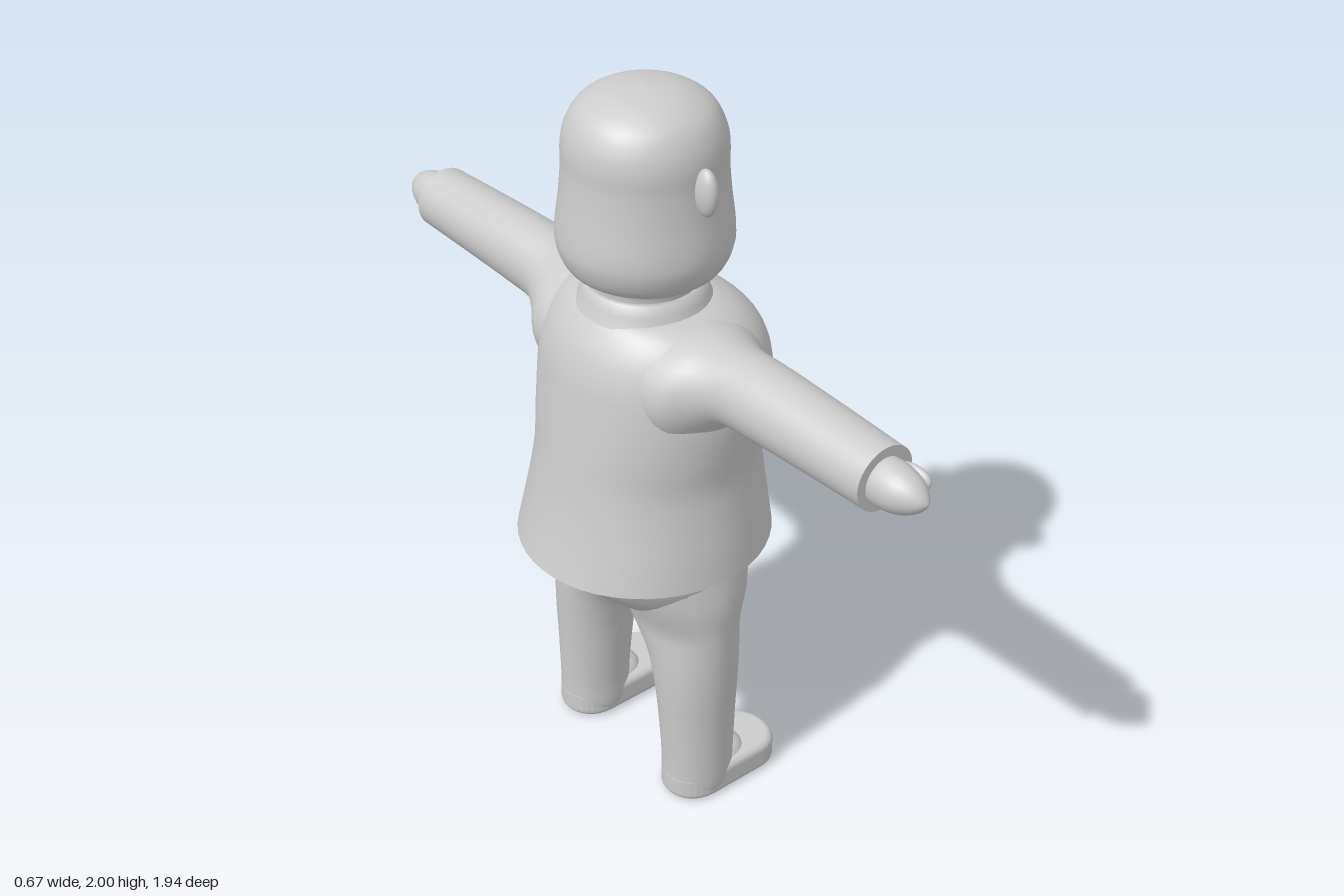
import * as THREE from 'three';

const mat = new THREE.MeshStandardMaterial({ color: 0xcccccc });
const openMat = new THREE.MeshStandardMaterial({ color: 0xcccccc, side: THREE.DoubleSide });

// Smooth loft along y through elliptical sections [y, xMin, xMax, zMin, zMax].
function loft(sections, { steps = 5, sides = 36, capStart = false, capEnd = false } = {}) {
  const at = (i) => sections[Math.max(0, Math.min(sections.length - 1, i))];
  const rings = [];
  for (let i = 0; i < sections.length - 1; i++) {
    for (let s = 0; s < steps; s++) {
      const k = s / steps;
      rings.push(at(i).map((p1, d) => {
        const p0 = at(i - 1)[d], p2 = at(i + 1)[d], p3 = at(i + 2)[d];
        return p1 + 0.5 * k * (p2 - p0 + k * (2 * p0 - 5 * p1 + 4 * p2 - p3 + k * (3 * (p1 - p2) + p3 - p0)));
      }));
    }
  }
  rings.push(sections[sections.length - 1]);

  const pos = [], index = [];
  const addRing = ([y, x0, x1, z0, z1]) => {
    for (let j = 0; j < sides; j++) {
      const a = (j / sides) * Math.PI * 2;
      pos.push((x0 + x1) / 2 + (x1 - x0) / 2 * Math.cos(a), y, (z0 + z1) / 2 + (z1 - z0) / 2 * Math.sin(a));
    }
  };
  rings.forEach(addRing);
  for (let i = 0; i < rings.length - 1; i++) {
    for (let j = 0; j < sides; j++) {
      const a = i * sides + j, b = i * sides + (j + 1) % sides;
      index.push(a, a + sides, b, b, a + sides, b + sides);
    }
  }
  // Flat ends keep their own vertices so the rim stays sharp
  const cap = (r, top) => {
    const base = pos.length / 3;
    addRing(r);
    pos.push((r[1] + r[2]) / 2, r[0], (r[3] + r[4]) / 2);
    for (let j = 0; j < sides; j++) {
      const a = base + j, b = base + (j + 1) % sides;
      index.push(base + sides, top ? b : a, top ? a : b);
    }
  };
  if (capStart) cap(rings[0], false);
  if (capEnd) cap(rings[rings.length - 1], true);

  const geo = new THREE.BufferGeometry();
  geo.setAttribute('position', new THREE.Float32BufferAttribute(pos, 3));
  geo.setIndex(index);
  geo.computeVertexNormals();
  return geo;
}

function part(parent, name, geo, material = mat) {
  const mesh = new THREE.Mesh(geo, material);
  mesh.name = name;
  parent.add(mesh);
  return mesh;
}

function ellipsoid(parent, name, position, size) {
  const mesh = part(parent, name, new THREE.SphereGeometry(1, 24, 16));
  mesh.position.set(...position);
  mesh.scale.set(...size);
  return mesh;
}

// Arm points to -z; inside the loft its z axis is the height
function makeArm() {
  const arm = new THREE.Group();
  const sleeve = part(arm, 'sleeve', loft([
    [0.16, -0.18, 0.19, 1.14, 1.44],
    [0.24, -0.165, 0.175, 1.14, 1.443],
    [0.30, -0.125, 0.13, 1.2, 1.442],
    [0.36, -0.1, 0.1, 1.245, 1.446],
    [0.46, -0.096, 0.093, 1.255, 1.449],
    [0.64, -0.093, 0.088, 1.263, 1.443],
    [0.84, -0.09, 0.08, 1.27, 1.436],
  ], { capEnd: true }));
  const hand = part(arm, 'hand', loft([
    [0.82, -0.064, 0.05, 1.29, 1.408],
    [0.86, -0.065, 0.052, 1.288, 1.411],
    [0.90, -0.06, 0.047, 1.295, 1.406],
    [0.935, -0.045, 0.035, 1.31, 1.392],
    [0.96, -0.025, 0.016, 1.33, 1.37],
    [0.97, -0.006, 0.002, 1.347, 1.353],
  ], { sides: 24, capEnd: true }));
  sleeve.rotation.x = hand.rotation.x = -Math.PI / 2;
  const thumb = ellipsoid(arm, 'thumb', [0.05, 1.355, -0.875], [0.017, 0.03, 0.05]);
  thumb.rotation.y = -0.1;
  return arm;
}

// Leg on the -z side with its foot towards +x
function makeLeg() {
  const leg = new THREE.Group();
  part(leg, 'trouserLeg', loft([
    [0.01, -0.085, 0.08, -0.3, -0.14],
    [0.04, -0.098, 0.098, -0.31, -0.131],
    [0.12, -0.1, 0.1, -0.312, -0.129],
    [0.25, -0.106, 0.106, -0.314, -0.118],
    [0.36, -0.113, 0.113, -0.318, -0.103],
    [0.45, -0.118, 0.12, -0.32, -0.075],
    [0.51, -0.122, 0.126, -0.321, -0.03],
    [0.57, -0.13, 0.135, -0.322, 0.02],
    [0.66, -0.16, 0.165, -0.323, 0.03],
    [0.78, -0.19, 0.19, -0.305, 0.03],
  ], { capStart: true }));

  // Foot sole outline, thickened with a rounded edge
  const sole = new THREE.Shape();
  sole.moveTo(-0.01, -0.066);
  sole.lineTo(0.16, -0.068);
  sole.bezierCurveTo(0.235, -0.068, 0.235, 0.068, 0.16, 0.068);
  sole.lineTo(-0.01, 0.066);
  sole.bezierCurveTo(-0.11, 0.066, -0.11, -0.066, -0.01, -0.066);
  const geo = new THREE.ExtrudeGeometry(sole, {
    depth: 0.045, bevelThickness: 0.02, bevelSize: 0.02, bevelSegments: 5, curveSegments: 16,
  });
  geo.rotateX(-Math.PI / 2);
  const foot = part(leg, 'foot', geo);
  foot.position.set(0.005, 0.02, -0.221);

  // Slight instep between ankle and toes
  ellipsoid(leg, 'instep', [0.07, 0.07, -0.221], [0.075, 0.045, 0.07]);
  return leg;
}

export function createModel() {
  const model = new THREE.Group();
  model.name = 'figure';

  // Head and neck
  const headCurve = new THREE.SplineCurve([
    [0.125, 1.42], [0.125, 1.49], [0.14, 1.512], [0.19, 1.54], [0.214, 1.59], [0.217, 1.64],
    [0.207, 1.72], [0.2, 1.8], [0.199, 1.86], [0.186, 1.91], [0.155, 1.955], [0.09, 1.988], [0, 2.0],
  ].map(([r, y]) => new THREE.Vector2(r, y)));
  const headPoints = headCurve.getPoints(48);
  headPoints[48].x = 0;
  part(model, 'head', new THREE.LatheGeometry(headPoints, 40));
  for (const s of [1, -1]) {
    ellipsoid(model, s < 0 ? 'leftEar' : 'rightEar', [0.004, 1.803, s * 0.215], [0.024, 0.061, 0.035]);
  }

  // Collar
  part(model, 'collar', new THREE.LatheGeometry(
    [[0.172, 1.43], [0.158, 1.462], [0.15, 1.49], [0.135, 1.49], [0.124, 1.475]]
      .map(([r, y]) => new THREE.Vector2(r, y)), 32), openMat);

  // Shirt, open at the hem
  part(model, 'shirt', loft([
    [0.752, -0.335, 0.333, -0.326, 0.326],
    [0.84, -0.31, 0.318, -0.316, 0.316],
    [0.93, -0.289, 0.304, -0.303, 0.303],
    [1.02, -0.274, 0.296, -0.294, 0.294],
    [1.11, -0.263, 0.304, -0.305, 0.305],
    [1.2, -0.25, 0.308, -0.314, 0.314],
    [1.29, -0.236, 0.302, -0.312, 0.312],
    [1.36, -0.213, 0.275, -0.292, 0.292],
    [1.41, -0.183, 0.225, -0.255, 0.255],
    [1.44, -0.155, 0.17, -0.2, 0.2],
    [1.452, -0.12, 0.125, -0.13, 0.13],
  ], { sides: 48, capEnd: true }), openMat);

  // Hips bulging under the hem
  part(model, 'hips', loft([
    [0.518, -0.06, 0.065, -0.05, 0.05],
    [0.54, -0.1, 0.105, -0.13, 0.13],
    [0.585, -0.145, 0.15, -0.215, 0.215],
    [0.64, -0.205, 0.205, -0.27, 0.27],
    [0.7, -0.255, 0.255, -0.3, 0.3],
    [0.76, -0.287, 0.289, -0.312, 0.312],
    [0.84, -0.28, 0.28, -0.29, 0.29],
  ], { sides: 48, capStart: true, capEnd: true }));

  // Limbs, mirrored across the body
  for (const s of [1, -1]) {
    const side = s > 0 ? 'left' : 'right';
    const arm = makeArm(), leg = makeLeg();
    arm.name = side + 'Arm';
    leg.name = side + 'Leg';
    arm.scale.z = leg.scale.z = s;
    model.add(arm, leg);
  }
  return model;
}
